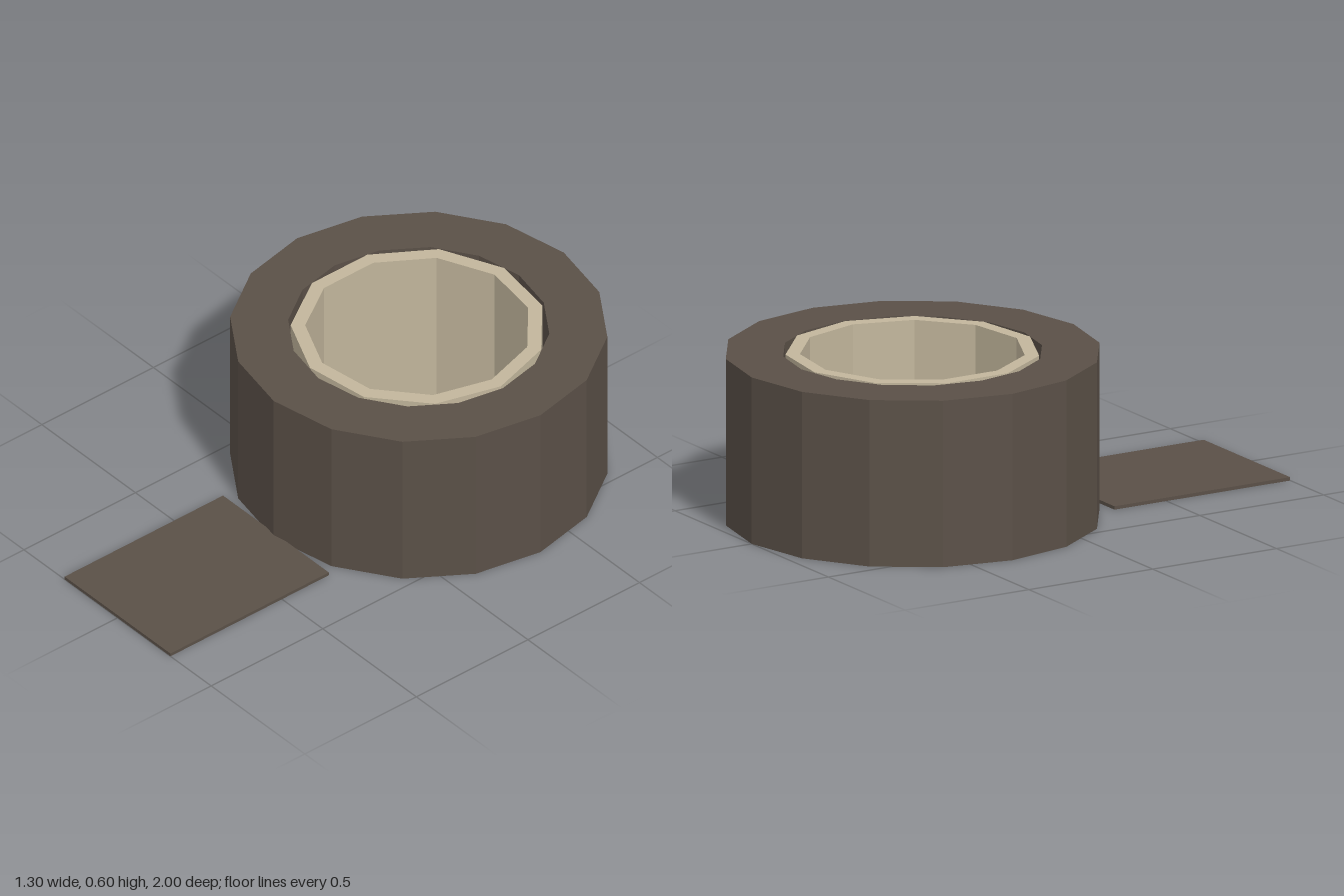
import * as THREE from 'three';

const tapeMaterial = new THREE.MeshStandardMaterial({ color: 0x5a5047, flatShading: true });
const coreMaterial = new THREE.MeshStandardMaterial({ color: 0xc2b69c, flatShading: true });

// Faceted hollow ring standing on y = bottom
function ring(name, outer, inner, bottom, top, sides, start, material) {
  const profile = [[outer, bottom], [outer, top], [inner, top], [inner, bottom], [outer, bottom]]
    .map(([x, y]) => new THREE.Vector2(x, y));
  const mesh = new THREE.Mesh(new THREE.LatheGeometry(profile, sides, start), material);
  mesh.name = name;
  mesh.position.z = -0.35;
  return mesh;
}

export function createModel() {
  const group = new THREE.Group();
  group.name = 'tapeRoll';

  // Wound tape and the cardboard core inside it
  group.add(ring('tapeWinding', 0.65, 0.45, 0, 0.593, 16, 0, tapeMaterial));
  group.add(ring('core', 0.44, 0.39, 0, 0.595, 11, Math.PI / 2, coreMaterial));

  // Loose end lying flat in front of the roll
  const strip = new THREE.Mesh(new THREE.BoxGeometry(0.565, 0.012, 0.71), tapeMaterial);
  strip.name = 'looseEnd';
  strip.position.set(0, 0.006, 0.645);
  group.add(strip);

  return group;
}
